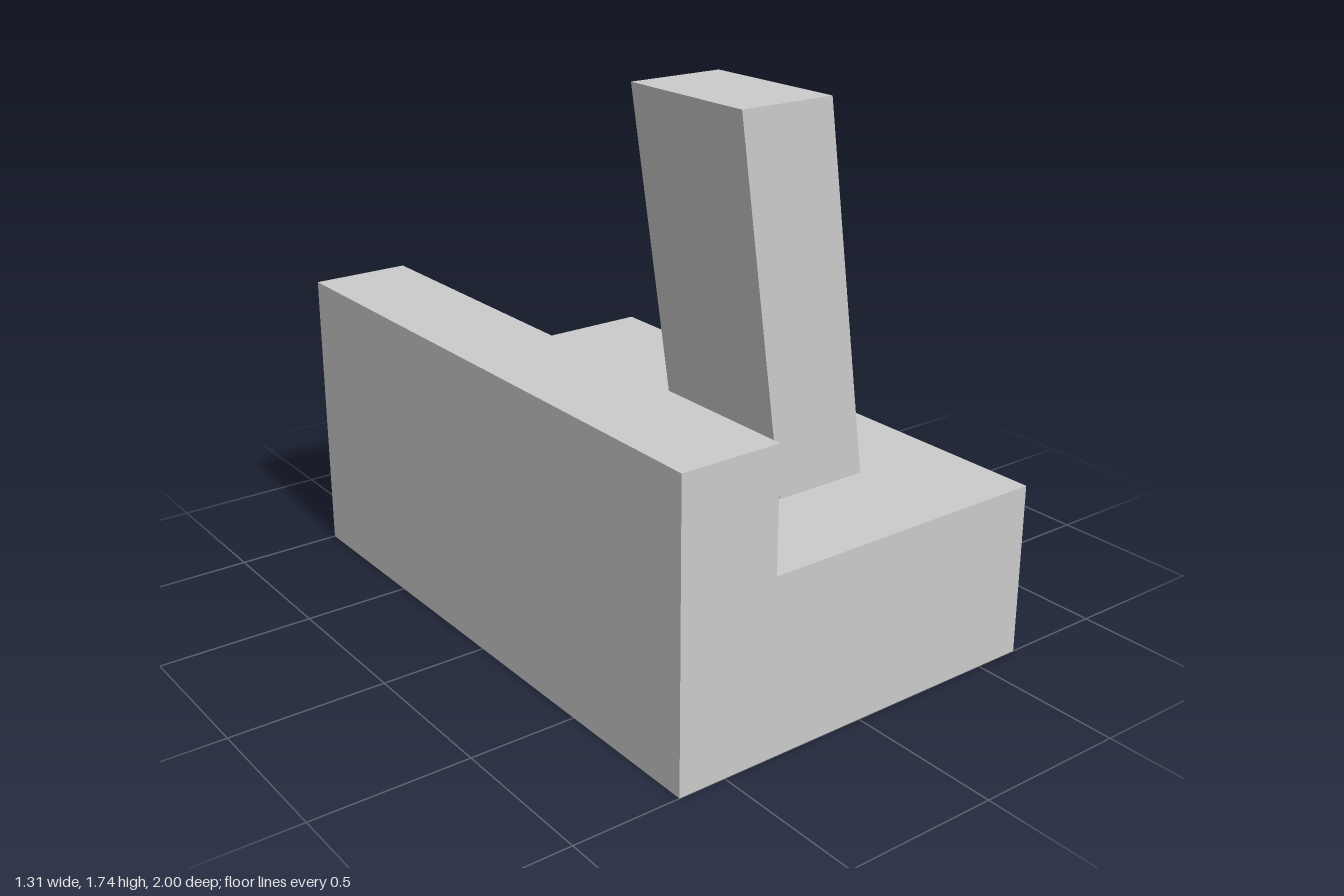
import * as THREE from 'three';

const material = new THREE.MeshStandardMaterial({ color: 0xcccccc, flatShading: true });

function mesh(geometry, name) {
  const m = new THREE.Mesh(geometry, material);
  m.name = name;
  return m;
}

function polygon(points) {
  return new THREE.Shape(points.map(([x, y]) => new THREE.Vector2(x, y)));
}

function extrude(shape, from, to) {
  const g = new THREE.ExtrudeGeometry(shape, { depth: to - from, bevelEnabled: false });
  return g.translate(0, 0, from);
}

const rect = (x0, x1, y0, y1) => [[x0, y0], [x1, y0], [x1, y1], [x0, y1]];

// Handset dimensions, in its own frame: z points out of the keypad face
const TILT = Math.atan(0.17 / 1.18);
const COS = Math.cos(TILT);
const LENGTH = 1.18 / COS;
const THICKNESS = 0.325 * COS;
const RECESS = 0.05;

// Slant the two ends so that they lie level once the handset is tilted
function levelEnds(geometry) {
  const p = geometry.attributes.position;
  for (let i = 0; i < p.count; i++) {
    const y = p.getY(i);
    if (y < 0.001 || y > LENGTH - 0.001) p.setY(i, y - p.getZ(i) * Math.tan(TILT));
  }
  geometry.computeVertexNormals();
  return geometry;
}

// Tapered key standing on z = 0
function keyGeometry(w, h, d, insetX, insetY) {
  const g = new THREE.BoxGeometry(w, h, d).translate(0, 0, d / 2);
  const p = g.attributes.position;
  for (let i = 0; i < p.count; i++) {
    if (p.getZ(i) < d / 2) continue;
    p.setX(i, p.getX(i) - Math.sign(p.getX(i)) * insetX);
    p.setY(i, p.getY(i) - Math.sign(p.getY(i)) * insetY);
  }
  g.computeVertexNormals();
  return g;
}

function createHandset() {
  const handset = new THREE.Group();
  handset.name = 'handset';

  // Solid back part
  const outline = rect(-0.25, 0.25, 0, LENGTH);
  handset.add(mesh(levelEnds(extrude(polygon(outline), -THICKNESS, -RECESS)), 'handsetBody'));

  // Front layer with the screen opening
  const face = polygon(outline);
  face.holes.push(polygon(rect(-0.18, 0.18, 0.675 / COS, 1.015 / COS)));
  handset.add(mesh(levelEnds(extrude(face, -RECESS, 0)), 'screenFrame'));

  // Keypad, three columns by four rows
  const keypad = new THREE.Group();
  keypad.name = 'keypad';
  const key = keyGeometry(0.067, 0.082, 0.033, 0.005, 0.01);
  for (let row = 0; row < 4; row++) {
    for (let col = -1; col <= 1; col++) {
      const k = mesh(key, 'key');
      k.position.set(col * 0.0717, (row - 1.5) * 0.0865, 0);
      keypad.add(k);
    }
  }
  keypad.position.set(-0.005, 0.34 / COS, 0);
  handset.add(keypad);

  // Face the +x side and lean back
  handset.rotation.set(0, Math.PI / 2, TILT, 'ZYX');
  handset.position.set(0.325, 0.56, 0.38);
  return handset;
}

export function createModel() {
  const model = new THREE.Group();
  model.name = 'phoneOnStand';

  // Stepped base with a raised ledge along one side
  const profile = polygon([
    [-0.655, 0], [0.655, 0], [0.655, 0.56], [-0.33, 0.56], [-0.33, 0.945], [-0.655, 0.945],
  ]);
  model.add(mesh(extrude(profile, -1, 1), 'base'));
  model.add(createHandset());
  return model;
}
